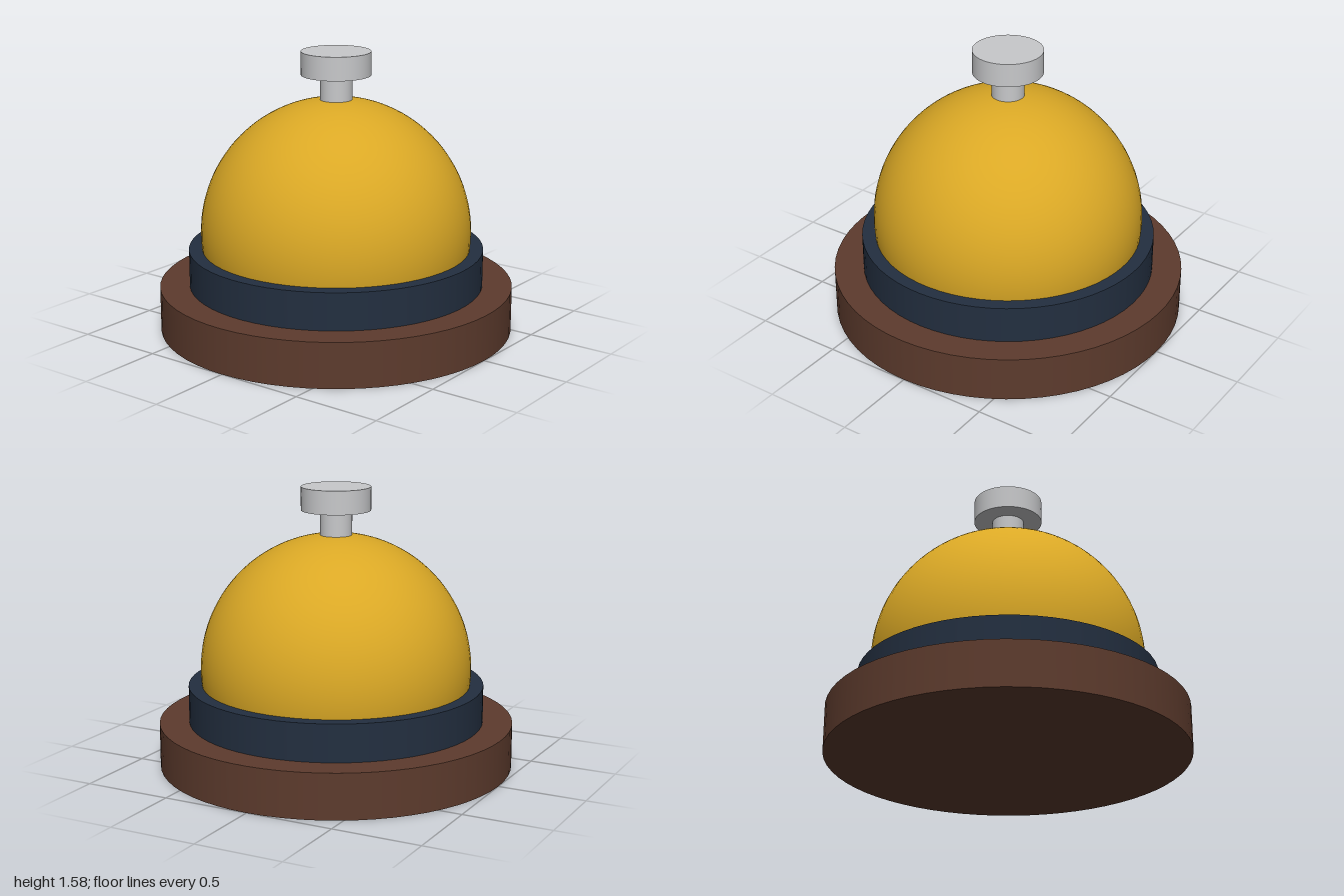
import * as THREE from 'three';

function material(name, color) {
  const m = new THREE.MeshStandardMaterial({ color });
  m.name = name;
  return m;
}

export function createModel() {
  const group = new THREE.Group();
  group.name = 'deskBell';

  const wood = material('brown wood', 0x5d3b2d);
  const navy = material('dark navy', 0x232f40);
  const brass = material('golden brass', 0xdaa825);
  const silver = material('silver', 0xc8c9cb);

  // Upright disc between two heights
  const disc = (name, radius, bottom, top, mat) => {
    const height = top - bottom;
    const mesh = new THREE.Mesh(new THREE.CylinderGeometry(radius, radius, height, 64), mat);
    mesh.position.y = bottom + height / 2;
    mesh.name = name;
    group.add(mesh);
  };

  // Stepped base
  disc('base', 1, 0, 0.255, wood);
  disc('collar', 0.833, 0.255, 0.465, navy);

  // Dome, a little more than a hemisphere, its rim sunk into the collar
  const dome = new THREE.Mesh(
    new THREE.SphereGeometry(0.763, 64, 40, 0, Math.PI * 2, 0, Math.PI * 0.56), brass);
  dome.position.y = 0.554;
  dome.name = 'dome';
  group.add(dome);

  // Plunger
  disc('plungerStem', 0.09, 1.27, 1.45, silver);
  disc('plungerButton', 0.195, 1.45, 1.582, silver);

  return group;
}
